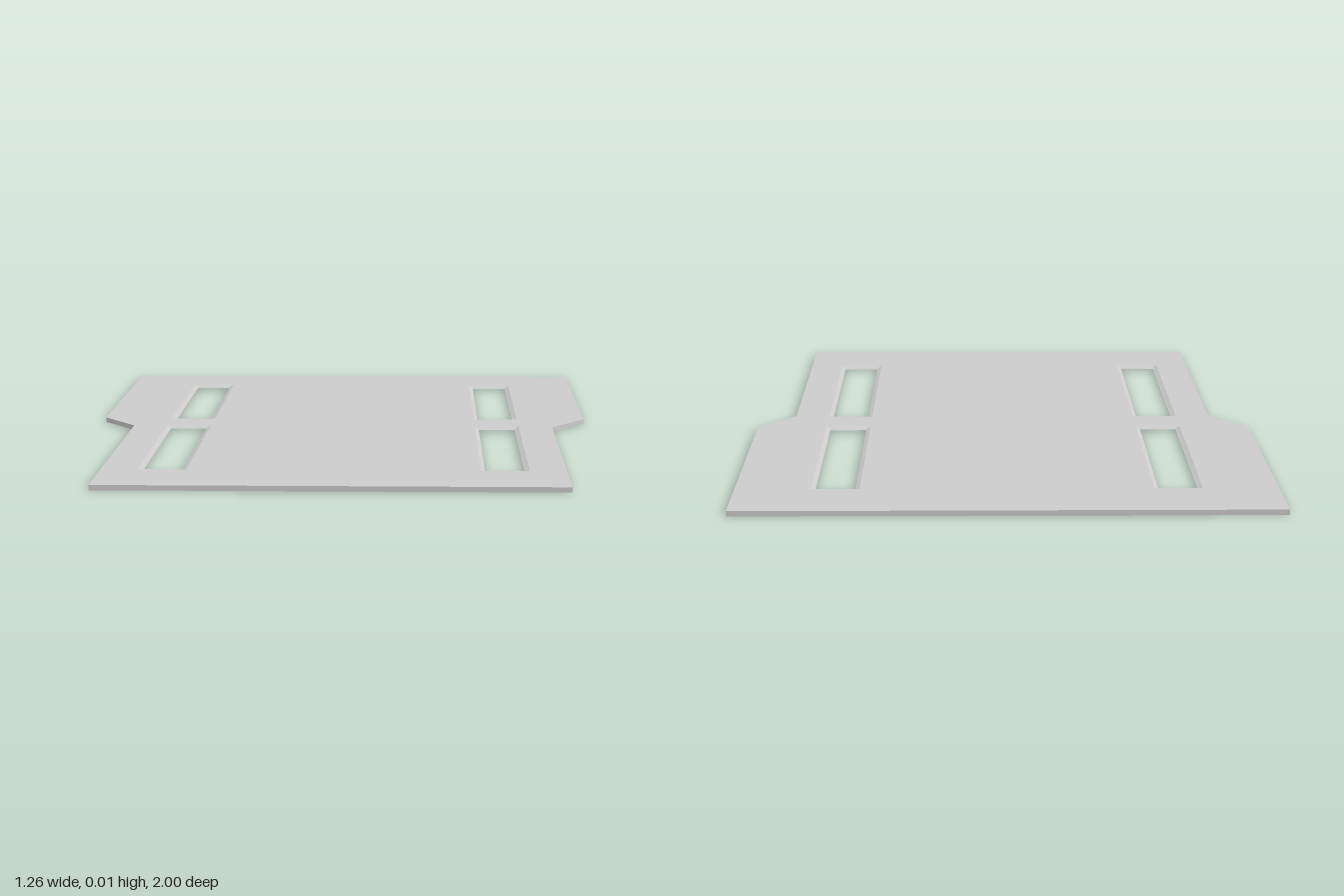
import * as THREE from 'three';

const H = 0.012;                       // plate thickness
const material = new THREE.MeshStandardMaterial({ color: 0xcccccc, flatShading: true });

// Plan points are [x, z]; shapes are drawn with y = -z and then laid flat
const rect = (x0, x1, z0, z1) => [[x0, z0], [x1, z0], [x1, z1], [x0, z1]];
const toVectors = pts => pts.map(([x, z]) => new THREE.Vector2(x, -z));

const half = [[0.63, -1], [0.63, -0.09], [0.54, 0.056], [0.54, 1]];
const outline = [...half, ...half.map(([x, z]) => [-x, z]).reverse()];

// Four long slots, mirrored left and right
const slots = [];
for (const side of [-1, 1])
  for (const [z0, z1] of [[-0.775, -0.089], [0.057, 0.763]])
    slots.push({ x: side * 0.3975, w: 0.0465, z0, z1 });
const slotRect = (s, grow) => rect(s.x - s.w - grow, s.x + s.w + grow, s.z0 - grow, s.z1 + grow);

// Two groups of three shallow cross grooves
const grooves = [];
for (const [side, w] of [[-1, 0.22], [1, 0.19]])
  for (const z of [0.305, 0.54, 0.775])
    grooves.push(rect(-w, w, side * z - 0.014, side * z + 0.014));

function layer(name, y0, y1, holes) {
  const shape = new THREE.Shape(toVectors(outline));
  holes.forEach(h => shape.holes.push(new THREE.Path(toVectors(h))));
  const geo = new THREE.ExtrudeGeometry(shape, { depth: y1 - y0, bevelEnabled: false });
  geo.rotateX(-Math.PI / 2).translate(0, y0, 0);
  const mesh = new THREE.Mesh(geo, material);
  mesh.name = name;
  return mesh;
}

// Sloping band from the wide top rim of a slot down to its narrow throat
function chamfer(slot) {
  const top = slotRect(slot, 0.01), low = slotRect(slot, 0);
  const pos = [];
  for (let i = 0; i < 4; i++) {
    const j = (i + 1) % 4;
    const a = [top[i][0], H, top[i][1]], b = [top[j][0], H, top[j][1]];
    const c = [low[j][0], H - 0.004, low[j][1]], d = [low[i][0], H - 0.004, low[i][1]];
    pos.push(...a, ...d, ...c, ...a, ...c, ...b);
  }
  const geo = new THREE.BufferGeometry();
  geo.setAttribute('position', new THREE.Float32BufferAttribute(pos, 3));
  geo.computeVertexNormals();
  const mesh = new THREE.Mesh(geo, material);
  mesh.name = 'slotChamfer';
  return mesh;
}

export function createModel() {
  const group = new THREE.Group();
  group.name = 'slottedPlate';
  const throats = slots.map(s => slotRect(s, 0));
  const rims = slots.map(s => slotRect(s, 0.01));
  group.add(
    layer('groovedUnderside', 0, 0.004, [...throats, ...grooves]),
    layer('plateCore', 0.004, H - 0.004, throats),
    layer('groovedTop', H - 0.004, H, [...rims, ...grooves]),
    ...slots.map(chamfer)
  );
  return group;
}
